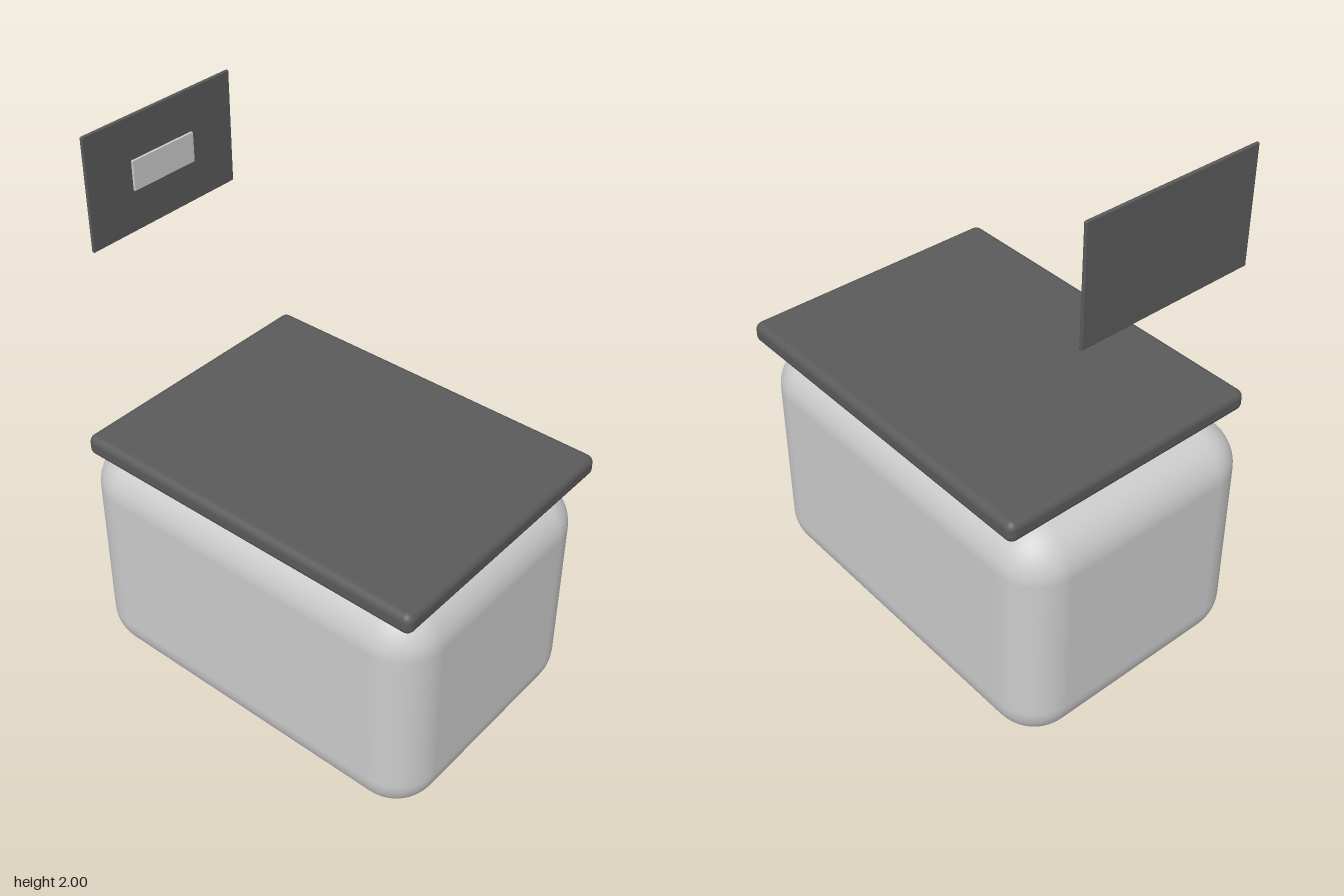
import * as THREE from 'three';
import { RoundedBoxGeometry } from 'three/addons/geometries/RoundedBoxGeometry.js';

const light = new THREE.MeshStandardMaterial({ color: 0xcccccc });
const dark = new THREE.MeshStandardMaterial({ color: 0x5a5a5a });

// Rounded block given by its extents along each axis
function block(name, [x0, x1], [y0, y1], [z0, z1], radius, material) {
  const geometry = new RoundedBoxGeometry(x1 - x0, y1 - y0, z1 - z0, 6, radius);
  const mesh = new THREE.Mesh(geometry, material);
  mesh.name = name;
  mesh.position.set((x0 + x1) / 2, (y0 + y1) / 2, (z0 + z1) / 2);
  return mesh;
}

export function createModel() {
  const model = new THREE.Group();
  model.name = 'lidded container';

  // Softly rounded container body
  model.add(block('body', [-0.49, 0.49], [0, 0.905], [-0.725, 0.725], 0.165, light));

  // Overhanging lid floating just above, set toward the front
  model.add(block('lid', [-0.505, 0.505], [0.922, 1.0], [-0.645, 0.722], 0.028, dark));

  // Thin upright panel at the back with a small raised plate on its front
  model.add(block('backPanel', [-0.327, 0.327], [1.595, 2.0], [-0.725, -0.713], 0.005, dark));
  const plate = new THREE.Mesh(new THREE.BoxGeometry(0.272, 0.105, 0.016), light);
  plate.name = 'panelPlate';
  plate.position.set(0, 1.797, -0.712);
  model.add(plate);

  return model;
}
